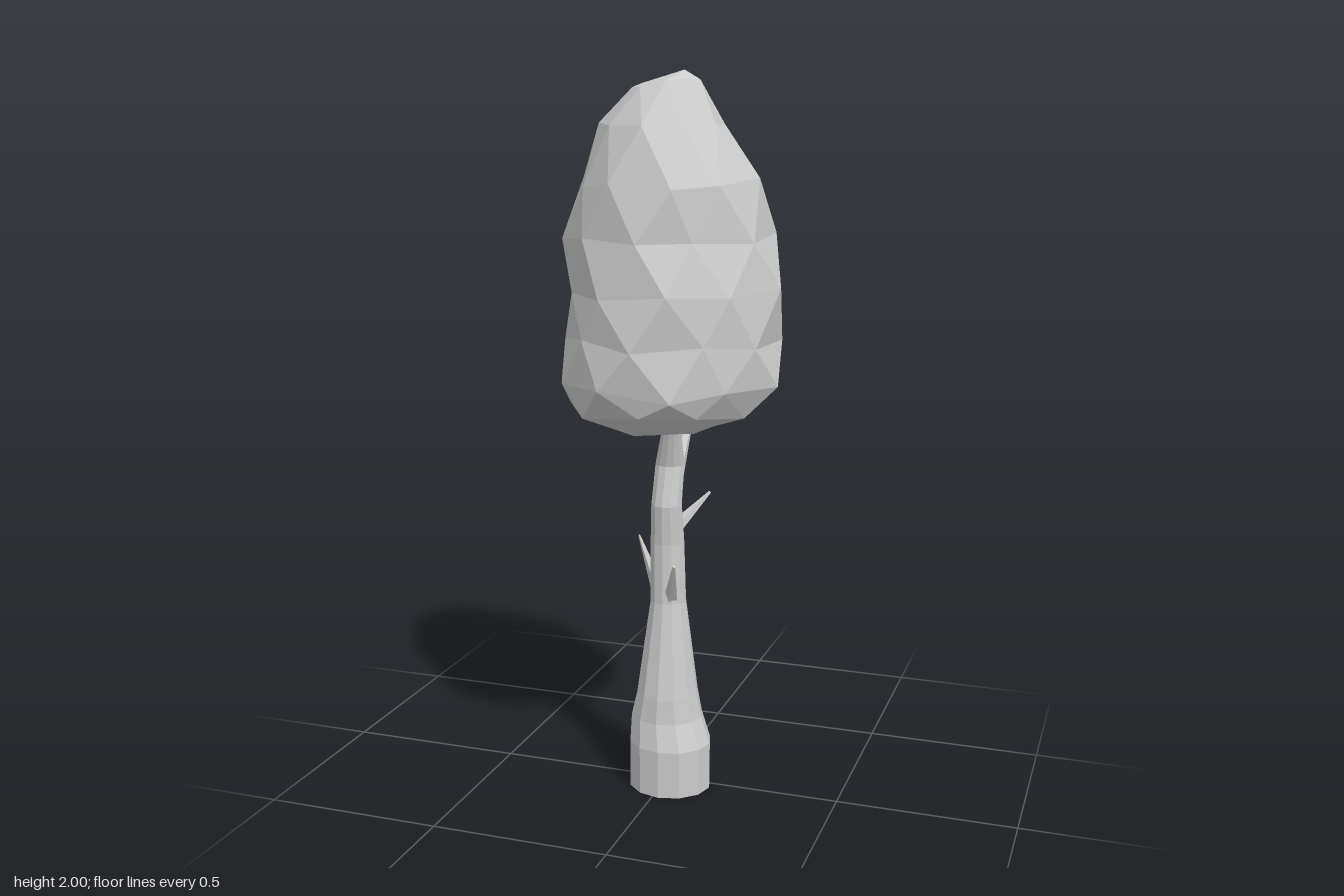
import * as THREE from 'three';

const material = new THREE.MeshStandardMaterial({ color: 0xcccccc, flatShading: true });

// repeatable noise in -1..1
function noise(n) {
  const s = Math.sin(n * 127.1 + 11.7) * 43758.5453;
  return (s - Math.floor(s)) * 2 - 1;
}

// Skin over rings of [x, y, z] points, closed by a point at bottom and top;
// stagger: every second ring is turned by half a step
function loft(name, rings, bottom, top, stagger = false) {
  const sides = rings[0].length, last = rings.length - 1;
  const id = (i, j) => i * sides + (j % sides);
  const b = rings.length * sides, t = b + 1, index = [];
  for (let j = 0; j < sides; j++) {
    for (let i = 0; i < last; i++) {
      const p = id(i, j), q = id(i, j + 1), u = id(i + 1, j), v = id(i + 1, j + 1);
      if (stagger && i % 2) index.push(p, u, v, p, v, q);
      else index.push(p, u, q, q, u, v);
    }
    index.push(b, id(0, j), id(0, j + 1), t, id(last, j + 1), id(last, j));
  }
  const g = new THREE.BufferGeometry();
  g.setAttribute('position', new THREE.Float32BufferAttribute([...rings, [bottom, top]].flat(2), 3));
  g.setIndex(index);
  const flat = g.toNonIndexed();
  flat.computeVertexNormals();
  const m = new THREE.Mesh(flat, material);
  m.name = name;
  return m;
}

// Trunk ring: ellipse between the given limits
function trunkRing([y, x0, x1, z0, z1]) {
  return Array.from({ length: 12 }, (_, j) => {
    const a = (j / 12) * Math.PI * 2;
    return [(x0 + x1) / 2 + ((x1 - x0) / 2) * Math.cos(a), y, (z0 + z1) / 2 + ((z1 - z0) / 2) * Math.sin(a)];
  });
}

// Crown ring: radii in eight directions, from +x by way of +z, resampled to ten points
function crownRing([y, ...radii], i) {
  return Array.from({ length: 10 }, (_, j) => {
    const n = i * 10 + j;
    const turn = (j + (i % 2) * 0.5 + 0.1 * noise(n + 900) + 1) / 10;
    const k = Math.floor(turn * 8), f = turn * 8 - k;
    const r = THREE.MathUtils.lerp(radii[k % 8], radii[(k + 1) % 8], f) * (1.02 + 0.02 * noise(n));
    const a = turn * Math.PI * 2;
    return [r * Math.cos(a), y + 0.015 * noise(n + 500), r * Math.sin(a)];
  });
}

// Tapered limb between two points
function limb(name, from, to, r0, r1, sides = 5) {
  const a = new THREE.Vector3(...from), d = new THREE.Vector3(...to).sub(a);
  const m = new THREE.Mesh(new THREE.CylinderGeometry(r1, r0, d.length(), sides), material);
  m.position.copy(a).addScaledVector(d, 0.5);
  m.quaternion.setFromUnitVectors(new THREE.Vector3(0, 1, 0), d.normalize());
  m.name = name;
  return m;
}

export function createModel() {
  const tree = new THREE.Group();
  tree.name = 'tree';

  // Trunk: flared foot, slim bent stem, tip leaning into the crown
  tree.add(loft('trunk', [
    [0, -0.10, 0.135, -0.08, 0.14],
    [0.135, -0.10, 0.135, -0.08, 0.14],
    [0.21, -0.098, 0.108, -0.075, 0.12],
    [0.28, -0.08, 0.095, -0.065, 0.115],
    [0.55, -0.042, 0.06, -0.028, 0.072],
    [0.72, -0.042, 0.055, -0.022, 0.067],
    [0.83, -0.035, 0.052, -0.005, 0.077],
    [0.94, -0.03, 0.054, -0.018, 0.052],
    [1.08, 0.012, 0.058, 0.05, 0.082],
  ].map(trunkRing), [0.017, 0, 0.03], [0.037, 1.1, 0.07]));

  // Limb branching to the back of the crown
  tree.add(limb('backFork', [0.018, 0.9, 0.018], [0.035, 1.07, -0.12], 0.032, 0.005, 6));

  // Bare twigs
  tree.add(limb('backTwig', [0.025, 0.755, 0.005], [0.105, 0.85, -0.06], 0.021, 0.004));
  tree.add(limb('rightTwig', [-0.02, 0.56, 0.01], [-0.09, 0.72, -0.012], 0.022, 0.003));
  tree.add(limb('frontTwig', [0.025, 0.56, 0.045], [0.065, 0.685, 0.14], 0.021, 0.004));

  // Faceted, lopsided crown
  tree.add(loft('crown', [
    [1.055, 0.16, 0.15, 0.15, 0.15, 0.14, 0.15, 0.15, 0.15],
    [1.105, 0.24, 0.24, 0.26, 0.26, 0.26, 0.27, 0.24, 0.24],
    [1.17, 0.305, 0.275, 0.295, 0.29, 0.305, 0.325, 0.295, 0.31],
    [1.30, 0.305, 0.275, 0.295, 0.27, 0.275, 0.315, 0.295, 0.305],
    [1.43, 0.305, 0.275, 0.29, 0.262, 0.27, 0.305, 0.285, 0.298],
    [1.57, 0.285, 0.225, 0.255, 0.268, 0.285, 0.285, 0.295, 0.293],
    [1.71, 0.25, 0.225, 0.26, 0.23, 0.245, 0.255, 0.235, 0.215],
    [1.85, 0.15, 0.15, 0.20, 0.175, 0.185, 0.165, 0.15, 0.15],
    [1.965, 0.09, 0.07, 0.12, 0.10, 0.07, 0.10, 0.075, 0.07],
  ].map(crownRing), [0.07, 1.022, -0.02], [0.05, 2, 0.01], true));

  return tree;
}
